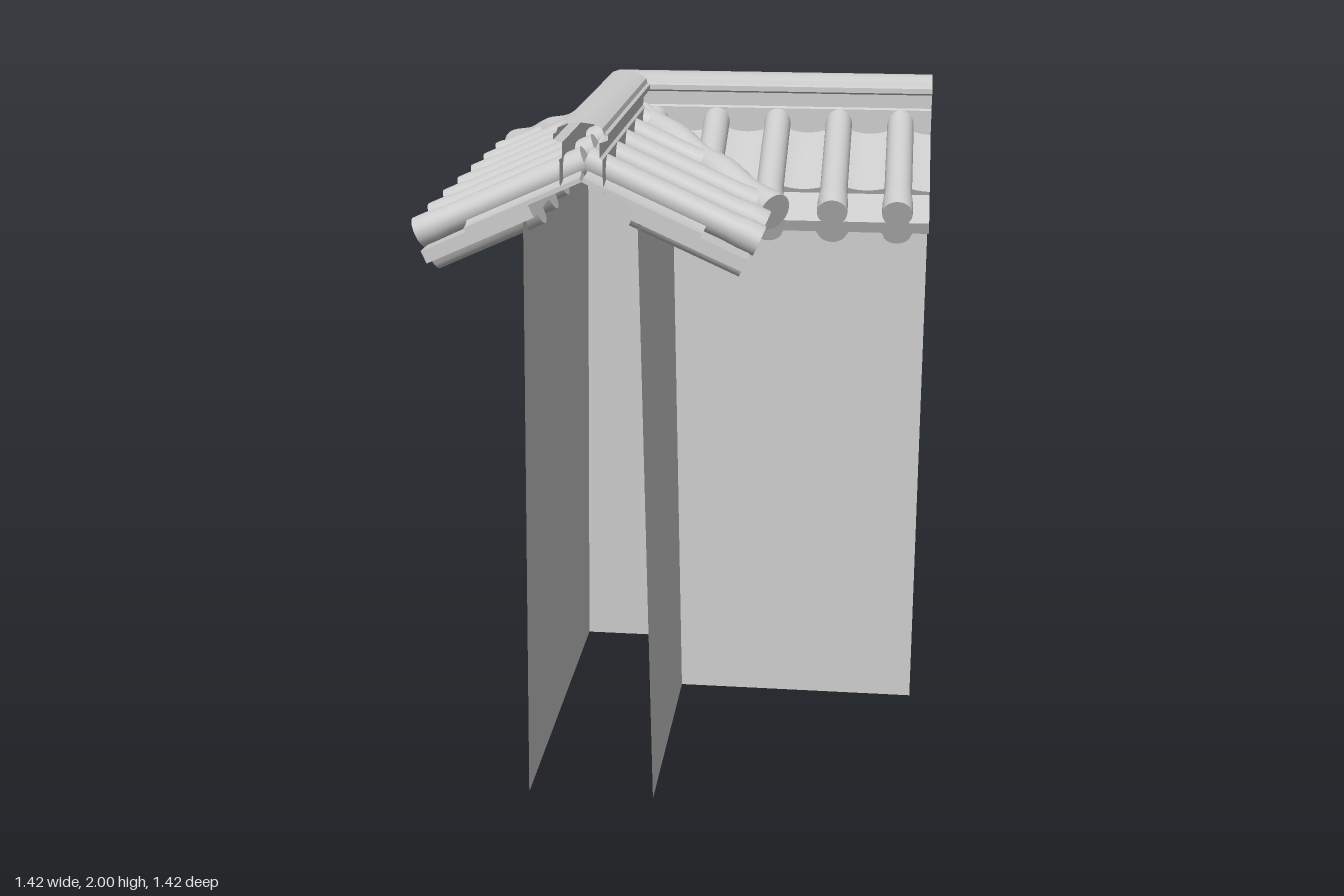
import * as THREE from 'three';
import { toCreasedNormals } from 'three/addons/utils/BufferGeometryUtils.js';

// Each arm is described by t (along the wall, from the corner) and s (distance from the ridge line).
const LENGTH = 0.93, CORNER = -0.22;
const SLOPE = Math.atan(0.45), COS = Math.cos(SLOPE), SIN = Math.sin(SLOPE), PEAK = 1.84;
const PITCH = 0.187, FIRST = 0.09;
const material = new THREE.MeshStandardMaterial({ color: 0xcccccc, side: THREE.DoubleSide });

// a = distance down the slope, h = height above the roof plane
const onSlope = (a, h) => [a * COS + h * SIN, PEAK - a * SIN + h * COS];

function mesh(name, geometry) {
  const m = new THREE.Mesh(geometry, material);
  m.name = name;
  return m;
}

// Surface from a grid of points; collapsed triangles are dropped.
function grid(nu, nv, point, capEnd) {
  const out = [];
  const ab = new THREE.Vector3(), ac = new THREE.Vector3();
  const tri = (a, b, c) => {
    if (ab.subVectors(b, a).cross(ac.subVectors(c, a)).length() > 1e-9) {
      for (const p of [a, b, c]) out.push(p.x, p.y, p.z);
    }
  };
  const quad = (a, b, c, d) => { tri(a, b, c); tri(a, c, d); };
  const P = [];
  for (let i = 0; i <= nu; i++) {
    P.push([]);
    for (let j = 0; j <= nv; j++) P[i].push(new THREE.Vector3(...point(i, j)));
  }
  for (let i = 0; i < nu; i++) {
    for (let j = 0; j < nv; j++) quad(P[i][j], P[i + 1][j], P[i + 1][j + 1], P[i][j + 1]);
  }
  if (capEnd) quad(P[nu][0], P[nu][1], P[nu][2], P[nu][3]);
  const g = new THREE.BufferGeometry();
  g.setAttribute('position', new THREE.Float32BufferAttribute(out, 3));
  return toCreasedNormals(g, 0.6);
}

// Roof layer between slope distances a0 and a1; side +1 is the inner slope, -1 the outer.
function roofLayer(name, side, a0, a1, top, bottom) {
  const N = 180;
  return mesh(name, grid(N, 4, (i, j) => {
    const t0 = -0.5 + (LENGTH + 0.5) * i / N;
    const k = j % 4;
    const h = k < 2 ? top(t0) : bottom(t0);
    const [s, y] = onSlope(k === 0 || k === 3 ? a0 : a1, h);
    return [Math.max(side * s, t0), y, side * s];
  }, true));
}

// Distance along the wall to the nearest cover tile
function tileOffset(t) {
  const u = (t - FIRST) / PITCH;
  return Math.abs(u - Math.round(u)) * PITCH;
}

// Round tile lying between two points, with a radius profile along its length
function roundTile(name, from, to, radii) {
  const a = new THREE.Vector3(...from), b = new THREE.Vector3(...to);
  const len = a.distanceTo(b);
  const pts = [[0, 0], ...radii.map(([u, r]) => [r, u * len]), [0, len]];
  const g = new THREE.LatheGeometry(pts.map(p => new THREE.Vector2(...p)), 20);
  const m = mesh(name, toCreasedNormals(g, 0.6));
  m.position.copy(a);
  m.quaternion.setFromUnitVectors(new THREE.Vector3(0, 1, 0), b.sub(a).normalize());
  return m;
}

function createArm() {
  const arm = new THREE.Group();

  // Battered wall faces, open at the ends
  for (const [name, low, high] of [['outerWall', -0.19, -0.16], ['innerWall', 0.18, 0.15]]) {
    arm.add(mesh(name, grid(1, 1, (i, j) => {
      const z = j ? high : low;
      return [i ? LENGTH : z, j ? 1.735 : 0, z];
    })));
  }

  for (const side of [-1, 1]) {
    // Eave tiles with half-round troughs beneath the cover tiles
    arm.add(roofLayer('eaveTiles', side, 0.16, 0.488, () => 0, t => {
      const d = tileOffset(t);
      return -0.037 - Math.sqrt(Math.max(0, 0.043 ** 2 - d * d)) * 0.88;
    }));
    // Upper pan tiles, hollow between the cover tiles
    arm.add(roofLayer('panTiles', side, 0, 0.35, t => {
      const m = 1 - 2 * tileOffset(t) / PITCH;
      return 0.012 + 0.025 * m * m;
    }, () => 0));

    // Cover tiles, trimmed at the diagonal
    for (let k = -2; k <= 4; k++) {
      const t = FIRST + PITCH * k;
      const s0 = side < 0 ? Math.max(0, -t) : 0;
      const s1 = side > 0 ? Math.min(0.47, t) : 0.47;
      if (s1 <= s0) continue;
      const y = s => PEAK + 0.042 - s * 0.45;
      arm.add(roundTile('coverTile', [t, y(s0), side * s0], [t, y(s1), side * s1],
        [[0, 0.04], [0.82, 0.04], [0.9, 0.044], [1, 0.044]]));
    }
  }

  // Ridge capping, mitred at the corner and open at the end
  const half = [[0.058, 1.81], [0.058, 1.9], [0.05, 1.905], [0.05, 1.945], [0.073, 1.953],
    [0.073, 1.968], [0.064, 1.972], [0.06, 1.985], [0.035, 1.996], [0, 2]];
  const profile = [...half, ...half.slice(0, -1).reverse().map(([z, y]) => [-z, y])];
  arm.add(mesh('ridge', grid(1, profile.length - 1, (i, j) => {
    const [z, y] = profile[j];
    return [i ? LENGTH : z, y, z];
  })));
  return arm;
}

export function createModel() {
  const model = new THREE.Group();
  model.name = 'tiledWallCorner';

  const armX = createArm();
  armX.name = 'sideArm';
  const armZ = createArm();
  armZ.name = 'frontArm';
  // Reflect across the corner diagonal
  armZ.scale.x = -1;
  armZ.rotation.y = Math.PI / 2;
  model.add(armX, armZ);

  // Diagonal tiles over the hip and the valley, gently swelling along their length
  const radii = [];
  for (let i = 0; i <= 24; i++) {
    const u = i / 24;
    radii.push([u, 0.051 + 0.005 * Math.cos((1 - u) * Math.PI * 6)]);
  }
  for (const [name, end] of [['hipTile', -0.445], ['valleyTile', 0.485]]) {
    model.add(roundTile(name, [0, 1.88, 0], [end, 1.672, end], radii));
  }

  model.position.set(CORNER, 0, CORNER);
  const root = new THREE.Group();
  root.name = 'wallCorner';
  root.add(model);
  return root;
}
